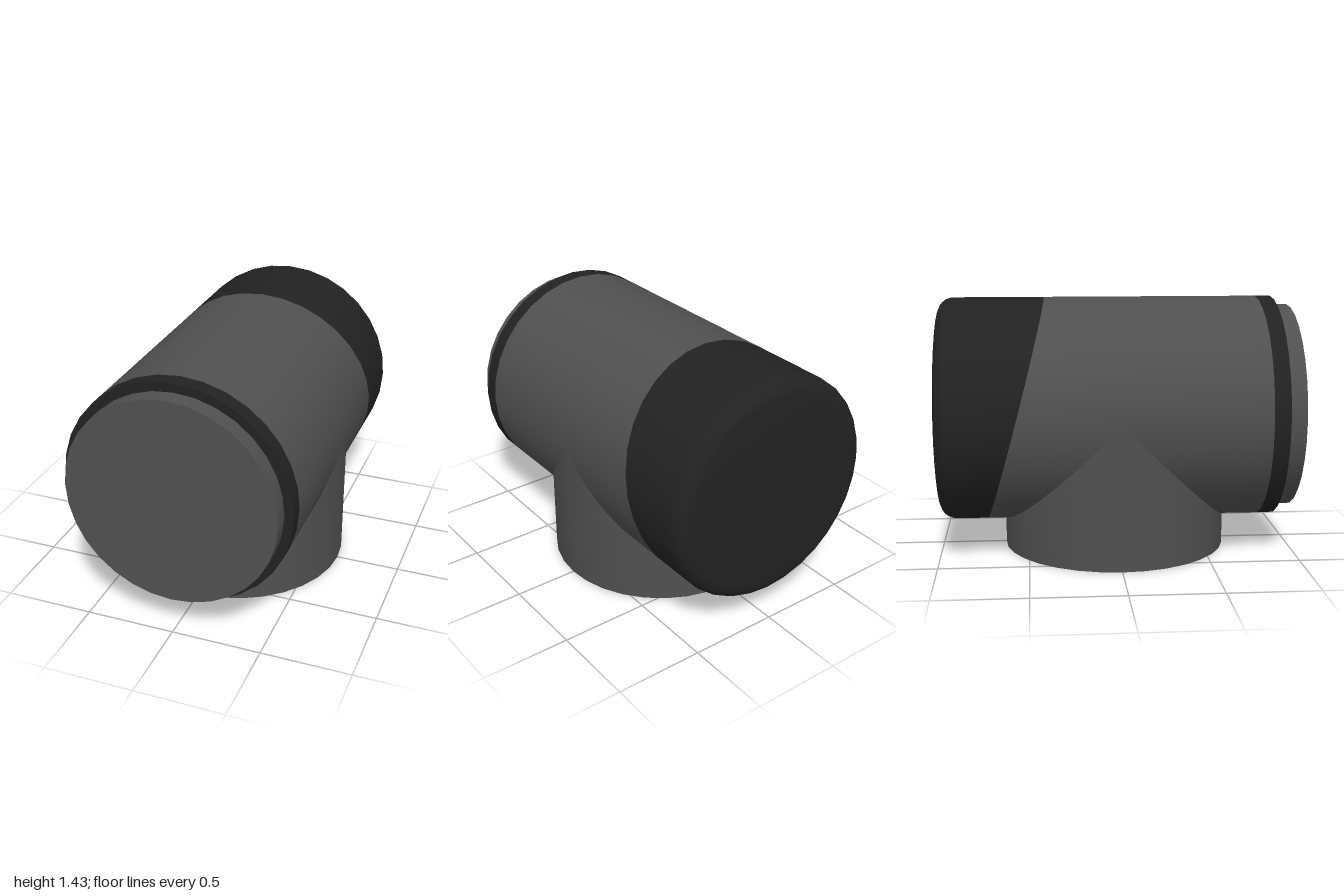
import * as THREE from 'three';
import { toCreasedNormals } from 'three/addons/utils/BufferGeometryUtils.js';

const R = 0.635;        // outer radius of both tubes
const R_IN = 0.585;     // plug and socket radius
const AXIS_Y = 0.8;     // height of the horizontal tube
const SEGMENTS = 32;

const grey = new THREE.MeshStandardMaterial({ color: 0x505050 });
const dark = new THREE.MeshStandardMaterial({ color: 0x222222 });

// Slanted joint between the body and the rear cap
const jointZ = (y) => -0.57 + 0.267 * y;

function turned(profile) {
  return new THREE.LatheGeometry(profile.map(([r, y]) => new THREE.Vector2(r, y)), SEGMENTS);
}

function moveVertices(geometry, rule) {
  const p = geometry.attributes.position;
  const v = new THREE.Vector3();
  for (let i = 0; i < p.count; i++) {
    v.fromBufferAttribute(p, i);
    rule(v);
    p.setXYZ(i, v.x, v.y, v.z);
  }
  return geometry;
}

function addPart(group, name, geometry, material) {
  const mesh = new THREE.Mesh(toCreasedNormals(geometry, 0.6), material);
  mesh.name = name;
  group.add(mesh);
  return mesh;
}

// Part turned about the horizontal z axis; profile is [radius, z] from back to front
function addHorizontal(group, name, profile, material, rule) {
  const geometry = turned(profile).rotateX(Math.PI / 2);
  if (rule) moveVertices(geometry, rule);
  addPart(group, name, geometry, material).position.y = AXIS_Y;
}

export function createModel() {
  const group = new THREE.Group();
  group.name = 'teeFitting';

  // Main tube, its rear edge cut on the slant
  addHorizontal(group, 'mainTube', [[R, -0.57], [R, 0.81]], grey,
    (v) => { if (v.z < 0) v.z = jointZ(v.y); });

  // Rear cap with a rounded edge, meeting the tube on the same slant
  const fillet = 0.09;
  const cap = [[0, -1]];
  for (let i = 0; i <= 6; i++) {
    const a = (i / 6) * Math.PI / 2;
    cap.push([R - fillet + fillet * Math.sin(a), -1 + fillet - fillet * Math.cos(a)]);
  }
  cap.push([R, -0.57]);
  addHorizontal(group, 'rearCap', cap, dark,
    (v) => { if (v.z > -0.6) v.z = jointZ(v.y); });

  // Front ring and the plug standing out of it
  addHorizontal(group, 'frontRing', [[R, 0.81], [R, 0.9], [R_IN - 0.01, 0.9]], dark);
  addHorizontal(group, 'frontPlug', [[R_IN, 0.88], [R_IN, 1], [0, 1]], grey);

  // Lower branch: wall and rim, its top trimmed to the seam with the main tube
  const branch = turned([[R_IN, 0.1], [R_IN, 0], [R, 0], [R, 0.8]]);
  moveVertices(branch, (v) => { if (v.y > 0.5) v.y = AXIS_Y - Math.abs(v.z); });
  addPart(group, 'lowerBranch', branch, grey);

  // Closed floor of the shallow socket under the branch
  addPart(group, 'socketFloor', turned([[0, 0.1], [R_IN, 0.1]]), grey);

  return group;
}
